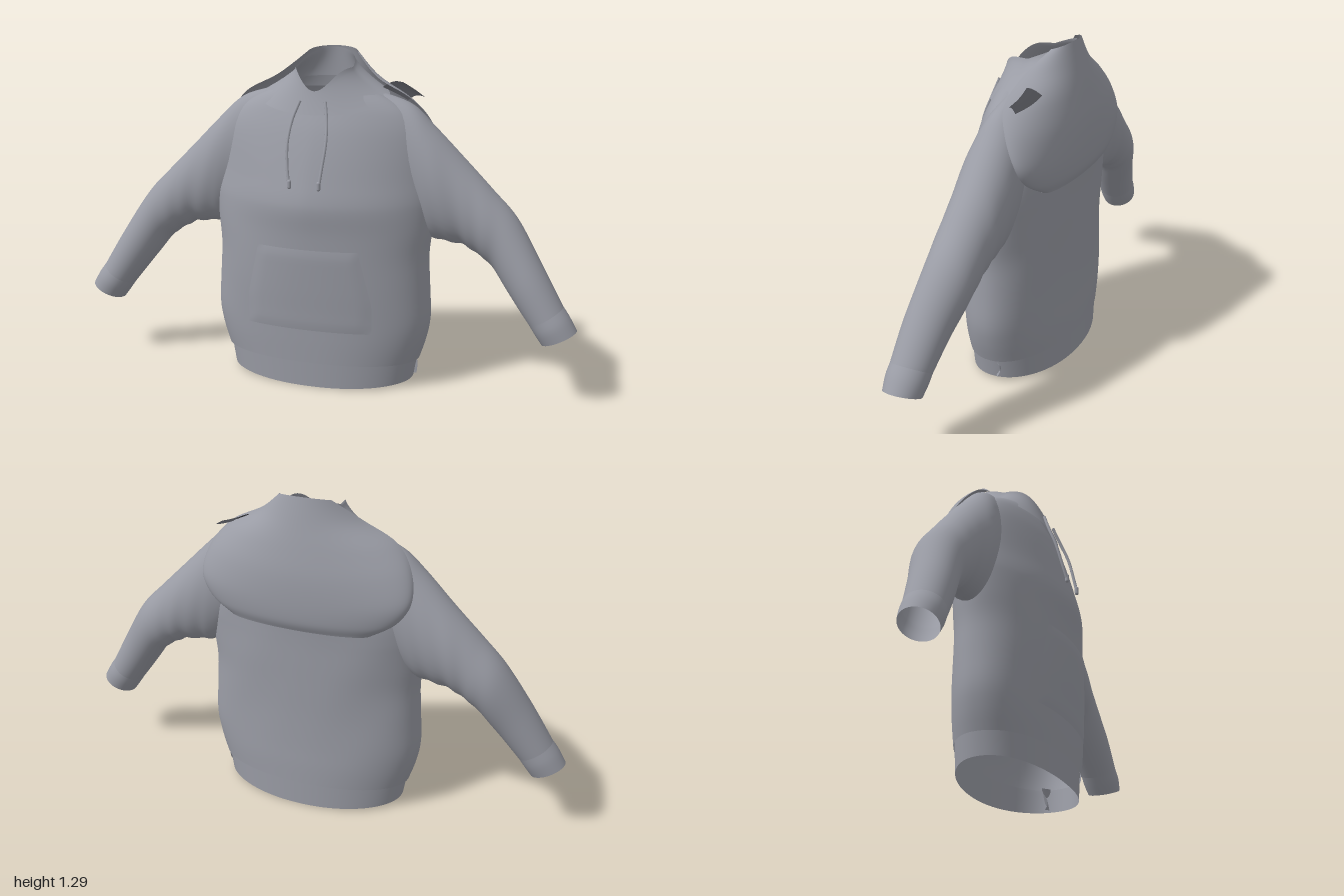
import * as THREE from 'three';

const mat = (name, color) => {
  const m = new THREE.MeshStandardMaterial({ color, side: THREE.DoubleSide });
  m.name = name;
  return m;
};

// Smooth (Catmull-Rom) lookup into a table of rows, t in 0..1
function sample(rows, t) {
  const f = t * (rows.length - 1), i = Math.min(Math.floor(f), rows.length - 2), k = f - i;
  const at = (j) => rows[Math.max(0, Math.min(rows.length - 1, j))];
  const [a, b, c, d] = [at(i - 1), at(i), at(i + 1), at(i + 2)];
  return b.map((q, n) => q + 0.5 * k * (c[n] - a[n] + k * (2 * a[n] - 5 * q + 4 * c[n] - d[n]
    + k * (3 * (q - c[n]) + d[n] - a[n]))));
}

// Grid surface from point(u, v); closed wraps it around in u
function surface(point, nu, nv, closed) {
  const pos = [], idx = [], cols = closed ? nu : nu + 1;
  for (let j = 0; j <= nv; j++)
    for (let i = 0; i < cols; i++) pos.push(...point(i / nu, j / nv));
  for (let j = 0; j < nv; j++)
    for (let i = 0; i < nu; i++) {
      const a = j * cols + i, b = j * cols + (i + 1) % cols;
      idx.push(a, b, b + cols, a, b + cols, a + cols);
    }
  const g = new THREE.BufferGeometry();
  g.setAttribute('position', new THREE.Float32BufferAttribute(pos, 3));
  g.setIndex(idx);
  g.computeVertexNormals();
  return g;
}

// Torso stations: height, half width, front z, back z, front pointedness
const TORSO = [
  [0.10, 0.395, 0.197, -0.194, 0.92], [0.18, 0.42, 0.200, -0.194, 0.92],
  [0.27, 0.435, 0.203, -0.192, 0.93], [0.40, 0.43, 0.212, -0.192, 0.95],
  [0.52, 0.425, 0.220, -0.195, 1.0], [0.62, 0.435, 0.226, -0.198, 1.08],
  [0.70, 0.44, 0.234, -0.200, 1.16], [0.75, 0.44, 0.230, -0.202, 1.2],
  [0.82, 0.43, 0.212, -0.205, 1.23], [0.92, 0.41, 0.183, -0.200, 1.23],
  [1.00, 0.38, 0.155, -0.190, 1.2], [1.06, 0.335, 0.128, -0.175, 1.15],
  [1.10, 0.28, 0.108, -0.160, 1.1], [1.13, 0.22, 0.092, -0.145, 1.05],
];
const pw = (s, p) => Math.sign(s) * Math.abs(s) ** p;
function oval(a, w, zf, zb, pf) {
  const c = Math.cos(a), p = c > 0 ? pf : 0.97;
  return [w * pw(Math.sin(a), p), Math.abs(c) ** p * (c > 0 ? zf : zb)];
}

// Sleeve stations: top x, top y, bottom x, bottom y, centre z, half depth
const SLEEVE = [
  [0.22, 1.135, 0.32, 0.70, -0.03, 0.09], [0.34, 1.095, 0.41, 0.60, -0.028, 0.103],
  [0.43, 1.015, 0.475, 0.58, -0.025, 0.11], [0.55, 0.895, 0.55, 0.57, -0.028, 0.105],
  [0.655, 0.79, 0.61, 0.54, -0.023, 0.10], [0.755, 0.685, 0.67, 0.495, -0.018, 0.096],
  [0.86, 0.52, 0.755, 0.385, 0.012, 0.086], [0.945, 0.375, 0.825, 0.295, 0.03, 0.077],
];
const CUFF = [
  [0.945, 0.375, 0.825, 0.295, 0.03, 0.077], [0.972, 0.338, 0.848, 0.262, 0.034, 0.077],
  [1.0, 0.29, 0.873, 0.228, 0.037, 0.07],
];
const sleevePoint = (rows, side, fold) => (u, v) => {
  const [tx, ty, bx, by, zc, d] = sample(rows, v), a = side * u * Math.PI * 2;
  // Soft creases around the inner elbow and armpit
  const r = 1 + fold * Math.sin(v * 44 + 2 * Math.cos(a)) * (0.5 - 0.5 * Math.cos(a))
    * Math.sin(Math.PI * v) ** 2;
  const c = Math.cos(a) * r;
  return [side * ((tx + bx) / 2 + c * (tx - bx) / 2), (ty + by) / 2 + c * (ty - by) / 2,
    zc + Math.sin(a) * d * r];
};

// Hood stations: centre y, half width, centre z, edge z, edge y
const HOOD = [
  [1.288, 0.10, -0.168, -0.11, 1.27], [1.20, 0.20, -0.190, -0.045, 1.185],
  [1.10, 0.33, -0.213, -0.04, 1.115], [1.00, 0.40, -0.230, -0.08, 1.03],
  [0.90, 0.42, -0.234, -0.125, 0.93], [0.82, 0.375, -0.228, -0.145, 0.85],
  [0.78, 0.28, -0.212, -0.17, 0.79],
];

export function createModel() {
  const model = new THREE.Group();
  const cloth = mat('grey cloth', 0x9a9ca5);
  const dark = mat('dark lining', 0x45464b);
  const add = (name, geometry, material = cloth) => {
    const m = new THREE.Mesh(geometry, material);
    m.name = name;
    model.add(m);
    return m;
  };

  // Torso with faint drape
  add('torso', surface((u, v) => {
    const [y, w, zf, zb, p] = sample(TORSO, v), a = u * Math.PI * 2;
    const [x, z] = oval(a, w, zf, zb, p);
    const drape = 0.003 * Math.sin(x * 17 + y * 13) * Math.sin(Math.PI * v) * Math.abs(Math.sin(a));
    return [x, y, z + drape];
  }, 72, 52, true));

  // Ribbed waistband, open at the bottom
  add('waistband', surface((u, v) => {
    const a = u * Math.PI * 2, w = 0.37 + 0.017 * v;
    const [x, z] = oval(a, w, 0.190 + 0.003 * v, -0.192, 0.92);
    return [x, 0.018 * Math.sin(a) ** 2 * (1 - v) + 0.115 * v, z];
  }, 72, 6, true));

  // Crumpled fold at the waistband's side seam
  add('waistbandFold', surface((u, v) => [
    0.345 + 0.035 * u, 0.025 + 0.09 * v,
    -0.025 + 0.012 * Math.sin(u * 3 + v * 5),
  ], 8, 8, false));

  // Kangaroo pocket following the belly
  add('pocket', surface((u, v) => {
    const y = 0.235 + 0.325 * v;
    const half = 0.25 - 0.05 * Math.max(0, (v - 0.35) / 0.65);
    const x = half * (2 * u - 1);
    const [, w, zf, , p] = sample(TORSO, 0.154 + (y - 0.27) * 0.615);
    const rim = Math.min(1, 12 * Math.min(u, 1 - u, v, 1 - v));
    return [x, y, zf * (1 - Math.abs(x / w) ** (2 / p)) ** (p / 2) + 0.002 + 0.004 * rim];
  }, 24, 16, false));

  // Sleeves and cuffs
  for (const side of [1, -1]) {
    const tag = side > 0 ? 'left' : 'right';
    add(tag + 'Sleeve', surface(sleevePoint(SLEEVE, side, 0.018), 36, 48, true));
    add(tag + 'Cuff', surface(sleevePoint(CUFF, side, 0), 36, 8, true));
  }

  // Collar flaring from the neck opening to the shoulders
  add('collar', surface((u, v) => {
    const a = u * Math.PI * 2, c = Math.cos(a), s = Math.sin(a);
    const rimY = c > 0 ? 1.225 - 0.08 * c ** 4 : 1.225 - 0.058 * c;
    const baseY = 1.115 - 0.055 * c, k = (1 - v) ** 1.4;
    return [s * (0.11 + 0.145 * k), baseY + (rimY - baseY) * v,
      -0.022 + 0.01 * k + c * (0.135 + 0.022 * (1 - v))];
  }, 64, 14, true));

  // Hood lying flat over the upper back
  add('hood', surface((u, v) => {
    const [yc, w, zc, ze, ye] = sample(HOOD, v), a = (u - 0.5) * Math.PI, c = Math.cos(a);
    return [w * Math.sin(a), ye + (yc - ye) * c, ze + (zc - ze) * c];
  }, 40, 36, false));
  // Turned-under lower edge of the hood
  add('hoodEdge', surface((u, v) => {
    const [yc, w, zc, ze, ye] = sample(HOOD, 1), a = (u - 0.5) * Math.PI, c = Math.cos(a);
    return [w * Math.sin(a), ye + (yc - ye) * c, ze + (zc - ze) * c + 0.03 * v];
  }, 40, 2, false));

  // Turned-out lining on the left shoulder
  add('shoulderLining', surface((u, v) => [
    0.22 + 0.10 * u + 0.05 * v,
    1.15 - 0.045 * u + 0.005 * v + 0.012 * Math.sin(Math.PI * v),
    -0.045 - 0.115 * v + 0.055 * u * v - 0.01 * Math.sin(u * 3),
  ], 10, 8, false), dark);

  // Drawstrings with knotted ends
  for (const [tag, xs] of [['right', [-0.05, -0.072, -0.08, -0.073, -0.06]],
    ['left', [0.05, 0.064, 0.07, 0.062, 0.055]]]) {
    const ys = [1.11, 1.04, 0.96, 0.87, 0.80], zs = [0.13, 0.156, 0.187, 0.21, 0.226];
    const path = new THREE.CatmullRomCurve3(xs.map((x, i) => new THREE.Vector3(x, ys[i], zs[i])));
    add(tag + 'Drawstring', new THREE.TubeGeometry(path, 30, 0.006, 8));
    const tip = add(tag + 'DrawstringTip', new THREE.CapsuleGeometry(0.008, 0.02, 4, 10));
    tip.position.set(xs[4], 0.81, 0.224);
  }
  return model;
}
